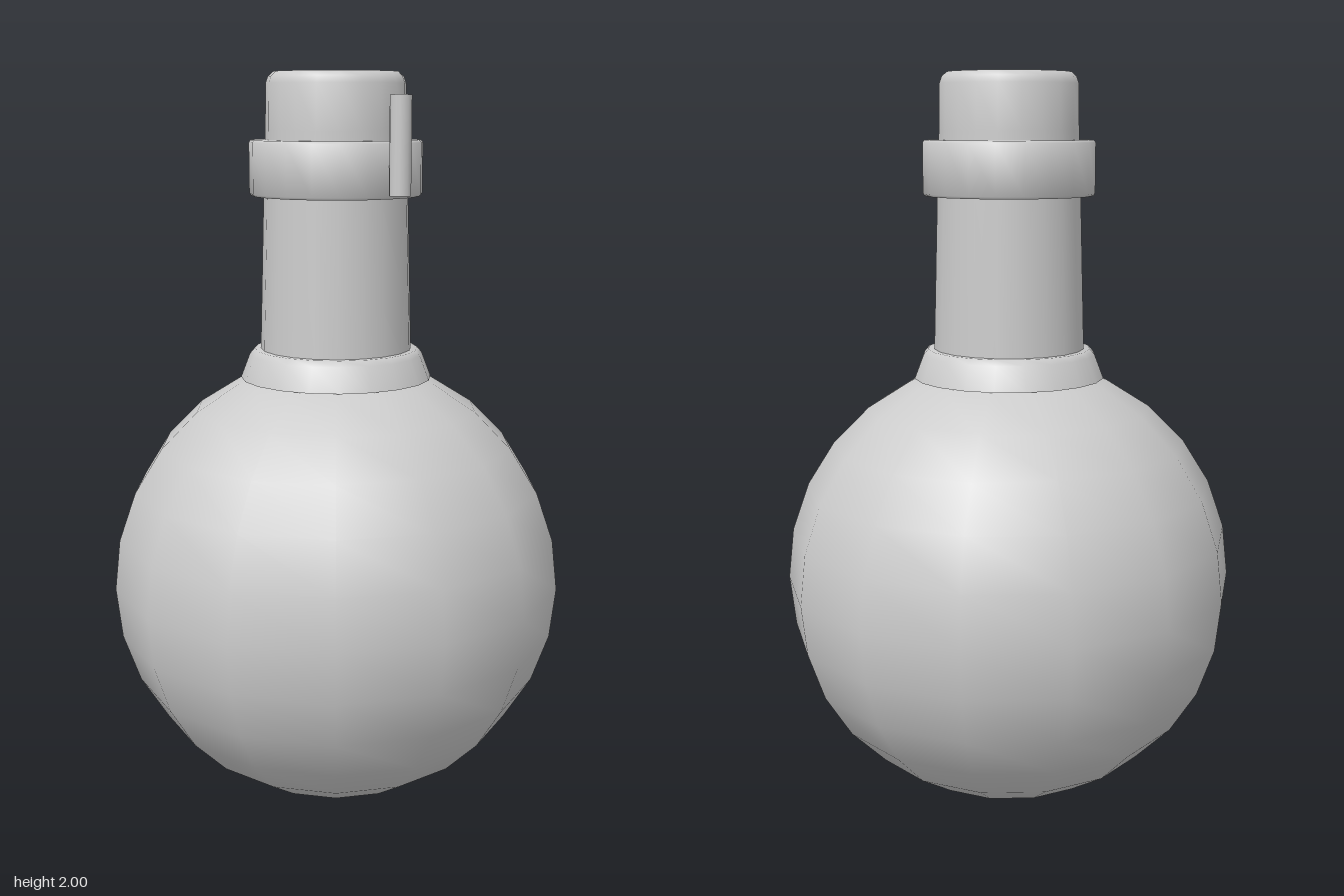
import * as THREE from 'three';
import { toCreasedNormals } from 'three/addons/utils/BufferGeometryUtils.js';

export function createModel() {
  const group = new THREE.Group();
  const grey = new THREE.MeshStandardMaterial({ color: 0xcccccc });

  const add = (name, geometry, x = 0, y = 0, z = 0) => {
    const mesh = new THREE.Mesh(geometry, grey);
    mesh.name = name;
    mesh.position.set(x, y, z);
    group.add(mesh);
  };
  // Profiles run from the bottom upwards as [radius, height]
  const turned = (points, crease = 0.9) => toCreasedNormals(
    new THREE.LatheGeometry(points.map(([r, y]) => new THREE.Vector2(r, y)), 20), crease);

  // Round flask body
  add('body', new THREE.SphereGeometry(0.62, 14, 14), 0, 0.62, 0);

  // Flared collar where the neck meets the body
  add('collar', turned([[0.18, 1.18], [0.26, 1.19], [0.235, 1.255], [0.222, 1.27], [0.18, 1.27]]));

  // Tapered neck with a rounded lip and a shallow mouth
  add('neck', turned([
    [0.207, 1.2], [0.205, 1.27], [0.193, 1.68], [0.187, 1.85], [0.185, 1.97],
    [0.179, 1.987], [0.165, 2], [0.083, 2], [0.083, 1.965], [0, 1.965],
  ]));

  // Band around the neck
  add('band', turned([
    [0.18, 1.68], [0.226, 1.68], [0.231, 1.686], [0.231, 1.819], [0.226, 1.825], [0.18, 1.825],
  ]));

  // Upright pin on the front of the band
  add('pin', new THREE.CylinderGeometry(0.028, 0.028, 0.25, 16), 0, 1.815, 0.26);

  return group;
}
